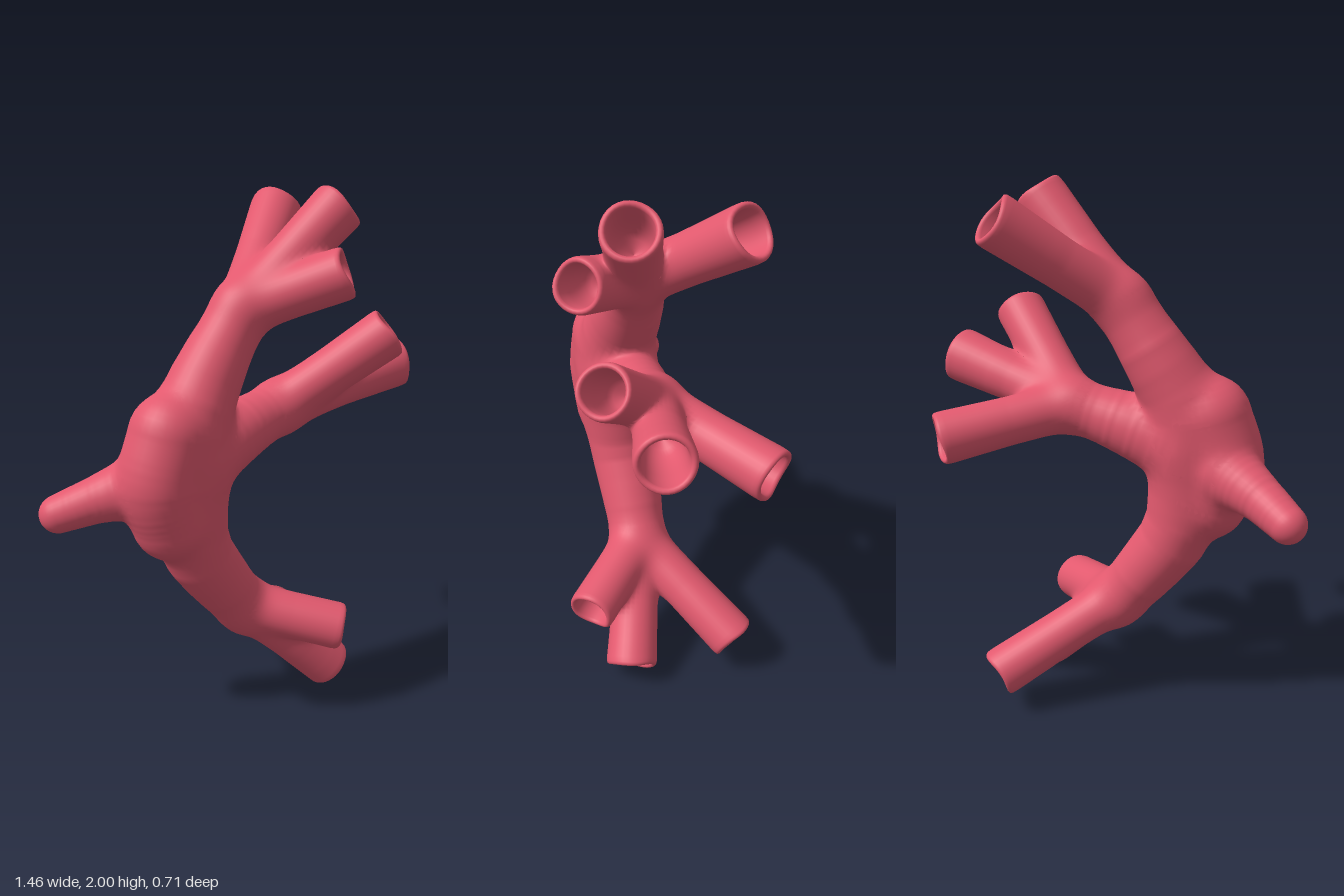
import * as THREE from 'three';

const SIDES = 32, BLEND = 0.015;

// A tube swept along points given as [x, y, z, radius].
function makeTube(name, open, pts) {
  const path = new THREE.CatmullRomCurve3(pts.map(p => new THREE.Vector3(p[0], p[1], p[2])));
  const radius = t => {
    const f = Math.min(t, 0.99999) * (pts.length - 1), i = Math.floor(f);
    return THREE.MathUtils.lerp(pts[i][3], pts[i + 1][3], f - i);
  };
  const samples = [];
  for (let i = 0; i <= 14; i++) samples.push({ c: path.getPoint(i / 14), r: radius(i / 14) });
  return { name, open, path, radius, samples };
}

// A straight open branch: slim to halfway, widening to its mouth.
function makeBranch(name, hub, tip) {
  const middle = hub.map((h, i) => (h + tip[i]) / 2);
  middle[3] = hub[3];
  return makeTube(name, true, [hub, middle, tip]);
}

const upperHub = [0, 1.575, 0, 0.09];
const middleHub = [0.19, 1.18, 0, 0.09];
const lowerHub = [0.01, 0.405, 0, 0.09];

const mainTrunk = makeTube('mainTrunk', false, [
  [0.02, 0.385, 0, 0.1], [-0.1, 0.54, -0.01, 0.12], [-0.23, 0.74, -0.01, 0.134], [-0.255, 1, 0, 0.153],
  [-0.24, 1.2, 0, 0.147], [-0.13, 1.39, -0.01, 0.125], [0, 1.58, 0, 0.1]]);
const chamber = makeTube('chamber', false, [
  [-0.34, 0.85, 0, 0.14], [-0.383, 1.01, 0, 0.15], [-0.335, 1.18, 0, 0.147]]);
const middleTrunk = makeTube('middleTrunk', false, [
  [-0.22, 1.06, 0, 0.145], [-0.02, 1.125, 0, 0.118], middleHub]);
const rearStub = makeTube('rearStub', false, [
  [-0.42, 0.99, -0.07, 0.113], [-0.55, 0.94, -0.16, 0.084], [-0.655, 0.89, -0.243, 0.07]]);

const TUBES = [
  mainTrunk, chamber, middleTrunk, rearStub,
  makeBranch('upperCentreBranch', upperHub, [0.345, 1.925, 0.135, 0.1]),
  makeBranch('upperBackBranch', upperHub, [0.385, 1.885, -0.24, 0.099]),
  makeBranch('upperFrontBranch', upperHub, [0.24, 1.715, 0.275, 0.094]),
  makeBranch('middleFrontBranch', middleHub, [0.485, 1.47, 0.27, 0.096]),
  makeBranch('middleCentreBranch', middleHub, [0.685, 1.305, 0.135, 0.105]),
  makeBranch('middleBackBranch', middleHub, [0.605, 1.1, -0.275, 0.098]),
  makeBranch('lowerFrontBranch', lowerHub, [0.27, 0.325, 0.275, 0.092]),
  makeBranch('lowerCentreBranch', lowerHub, [0.35, 0.075, 0.14, 0.1]),
  makeBranch('lowerBackBranch', lowerHub, [0.415, 0.15, -0.26, 0.095]),
];

// Distance from a point to one tube, taken along its sampled centre line.
function tubeDistance(samples, x, y, z) {
  let best = Infinity;
  for (let i = 0; i < samples.length - 1; i++) {
    const a = samples[i], b = samples[i + 1];
    const dx = b.c.x - a.c.x, dy = b.c.y - a.c.y, dz = b.c.z - a.c.z;
    const px = x - a.c.x, py = y - a.c.y, pz = z - a.c.z;
    const h = Math.min(1, Math.max(0, (px * dx + py * dy + pz * dz) / (dx * dx + dy * dy + dz * dz)));
    const d = Math.hypot(px - dx * h, py - dy * h, pz - dz * h) - (a.r + (b.r - a.r) * h);
    if (d < best) best = d;
  }
  return best;
}

// Smooth union of all tubes, giving soft webs where they meet.
function field(x, y, z) {
  let sum = 0;
  for (const t of TUBES) sum += Math.exp(-tubeDistance(t.samples, x, y, z) / BLEND);
  return -BLEND * Math.log(sum);
}

function gradient(p) {
  const e = 0.006, f = (x, y, z) => field(p.x + x, p.y + y, p.z + z);
  return new THREE.Vector3(
    f(e, 0, 0) - f(-e, 0, 0), f(0, e, 0) - f(0, -e, 0), f(0, 0, e) - f(0, 0, -e)).normalize();
}

// Rings along a tube: t on the path, shift along the tangent, radius scale.
function stationsFor(tube) {
  const list = [], caps = 8, steps = tube === mainTrunk ? 48 : 24;
  const last = tube.open ? 0.96 : 1;
  for (let i = 0; i < caps; i++) {
    const a = (i / caps) * Math.PI / 2;
    list.push({ t: 0, shift: -tube.radius(0) * Math.cos(a), scale: Math.max(0.001, Math.sin(a)), skin: true });
  }
  for (let i = 0; i <= steps; i++) list.push({ t: last * i / steps, shift: 0, scale: 1, skin: true });
  if (tube.open) {
    // Rounded lip, then the bore running back into the branch
    for (let i = 0; i <= caps; i++) {
      const a = (i / caps) * Math.PI;
      list.push({ t: 1, shift: 0.014 * Math.sin(a) - 0.003, scale: 0.87 + 0.115 * Math.cos(a) });
    }
    for (let i = 1; i <= caps; i++) {
      const k = i / caps;
      list.push({ t: 0.98 - 0.43 * k, shift: 0, scale: Math.max(0.001, 0.74 * Math.sqrt(1 - k ** 4)) });
    }
  } else {
    for (let i = 1; i <= caps; i++) {
      const a = (i / caps) * Math.PI / 2;
      list.push({ t: 1, shift: tube.radius(1) * Math.sin(a), scale: Math.max(0.001, Math.cos(a)), skin: true });
    }
  }
  return list;
}

function buildTube(tube, seed) {
  const stations = stationsFor(tube), pos = [], index = [], skinNormals = [];
  const zAxis = new THREE.Vector3(0, 0, 1);
  stations.forEach((s, i) => {
    const centre = tube.path.getPoint(s.t), tan = tube.path.getTangent(s.t);
    const u = new THREE.Vector3().crossVectors(tan, zAxis).normalize();
    const v = new THREE.Vector3().crossVectors(tan, u);
    const r = tube.radius(s.t) * s.scale;
    for (let j = 0; j < SIDES; j++) {
      const a = (j / SIDES) * Math.PI * 2;
      // Slightly uneven mouth
      const wave = tube.open && s.t === 1
        ? 0.005 * Math.sin(2 * a + seed * 1.7) + 0.003 * Math.sin(3 * a + seed) : 0;
      const p = centre.clone().addScaledVector(tan, s.shift + wave)
        .addScaledVector(u, r * Math.cos(a)).addScaledVector(v, r * Math.sin(a));
      // Raise the skin onto the blended surface
      if (s.skin) {
        for (let k = 0; k < 2; k++) {
          const f = field(p.x, p.y, p.z);
          if (f > -0.05) p.addScaledVector(gradient(p), -f);
        }
        skinNormals.push([i * SIDES + j, gradient(p)]);
      }
      pos.push(p.x, p.y, p.z);
      if (i < stations.length - 1) {
        const A = i * SIDES + j, B = i * SIDES + (j + 1) % SIDES, C = B + SIDES, D = A + SIDES;
        index.push(A, B, D, B, C, D);
      }
    }
  });
  const geo = new THREE.BufferGeometry();
  geo.setAttribute('position', new THREE.Float32BufferAttribute(pos, 3));
  geo.setIndex(index);
  geo.computeVertexNormals();
  for (const [i, n] of skinNormals) geo.attributes.normal.setXYZ(i, n.x, n.y, n.z);
  return geo;
}

export function createModel() {
  const group = new THREE.Group();
  group.name = 'branchingVessel';
  const material = new THREE.MeshStandardMaterial({ color: 0xe2596e });
  TUBES.forEach((tube, i) => {
    const mesh = new THREE.Mesh(buildTube(tube, i), material);
    mesh.name = tube.name;
    group.add(mesh);
  });
  return group;
}
